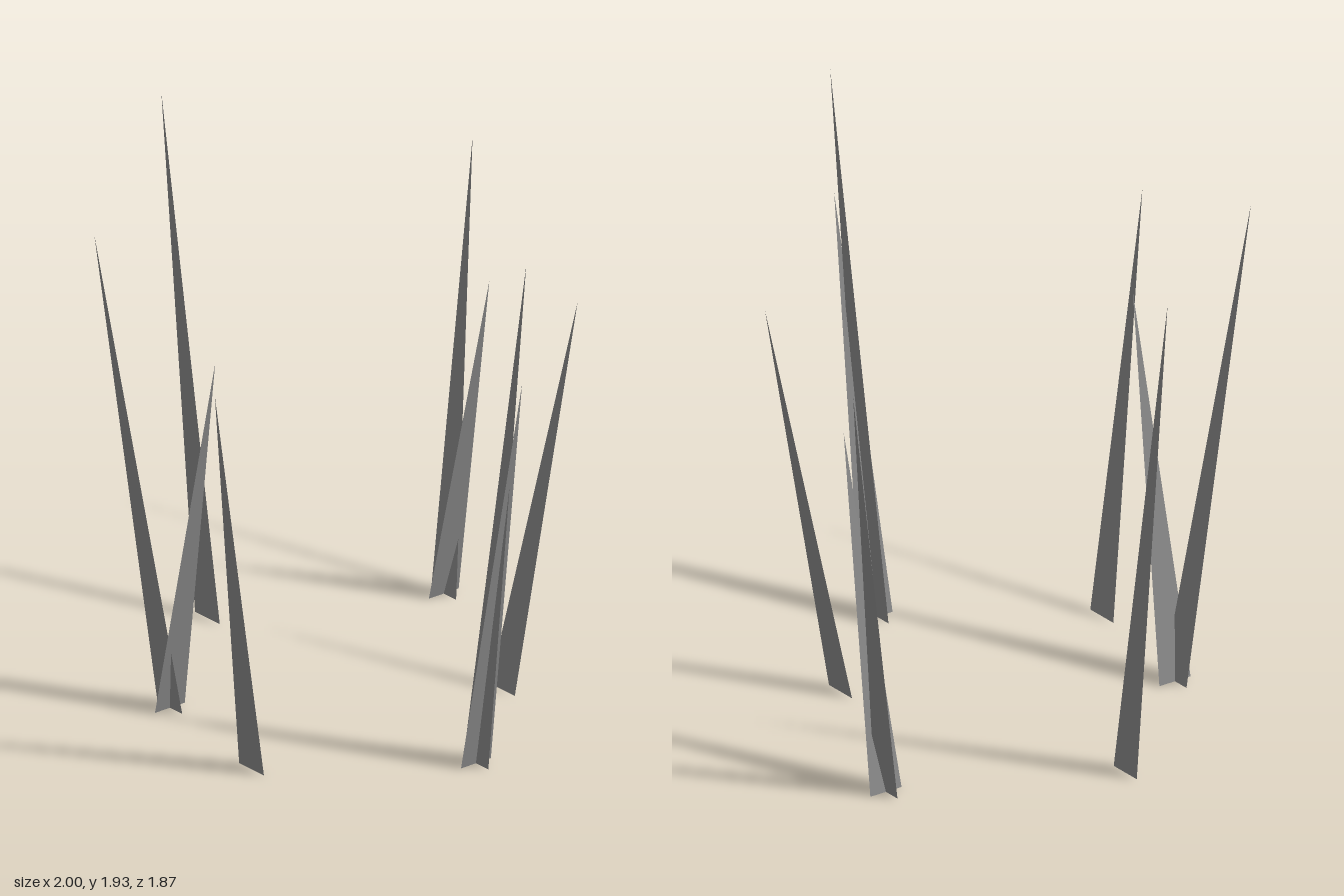
import * as THREE from 'three';

const BLADE_WIDTH = 0.13;

// One flat, pointed blade: a base edge along x or z, rising to a leaning tip
function makeBlade(name, material, axis, [bx, bz], [tx, ty, tz]) {
  const h = BLADE_WIDTH / 2;
  const dx = axis === 'x' ? h : 0;
  const dz = axis === 'z' ? h : 0;
  const geometry = new THREE.BufferGeometry();
  geometry.setAttribute('position', new THREE.Float32BufferAttribute([
    bx - dx, 0, bz + dz,
    bx + dx, 0, bz - dz,
    tx, ty, tz,
  ], 3));
  geometry.computeVertexNormals();
  const mesh = new THREE.Mesh(geometry, material);
  mesh.name = name;
  return mesh;
}

export function createModel() {
  const model = new THREE.Group();
  model.name = 'grassTuft';
  const bladeGrey = new THREE.MeshStandardMaterial({ color: 0x888888, side: THREE.DoubleSide });
  bladeGrey.name = 'bladeGrey';

  // Each clump: its root on the ground, then blades as [base axis, tip]
  const clumps = [
    { name: 'backRightClump', root: [-0.383, -0.708], blades: [['x', [-0.505, 1.575, -0.935]], ['z', [-0.14, 1.24, -0.705]]] },
    { name: 'frontRightClump', root: [-0.263, 0.585], blades: [['x', [-0.397, 1.76, 0.803]], ['z', [-0.025, 1.355, 0.585]]] },
    { name: 'leftClump', root: [0.736, 0.081], blades: [['x', [1.0, 1.93, 0.081]], ['z', [0.978, 1.483, 0.081]]] },
    { name: 'rightClump', root: [-0.738, 0.027], blades: [['x', [-1.0, 1.84, 0.01]]] },
    { name: 'backLeftClump', root: [0.338, -0.365], blades: [['x', [0.48, 1.42, -0.575]]] },
    { name: 'frontLeftClump', root: [0.292, 0.69], blades: [['x', [0.388, 1.483, 0.93]]] },
  ];

  for (const { name, root, blades } of clumps) {
    const clump = new THREE.Group();
    clump.name = name;
    blades.forEach(([axis, tip], i) => clump.add(makeBlade(`grassBlade${i + 1}`, bladeGrey, axis, root, tip)));
    model.add(clump);
  }
  return model;
}
